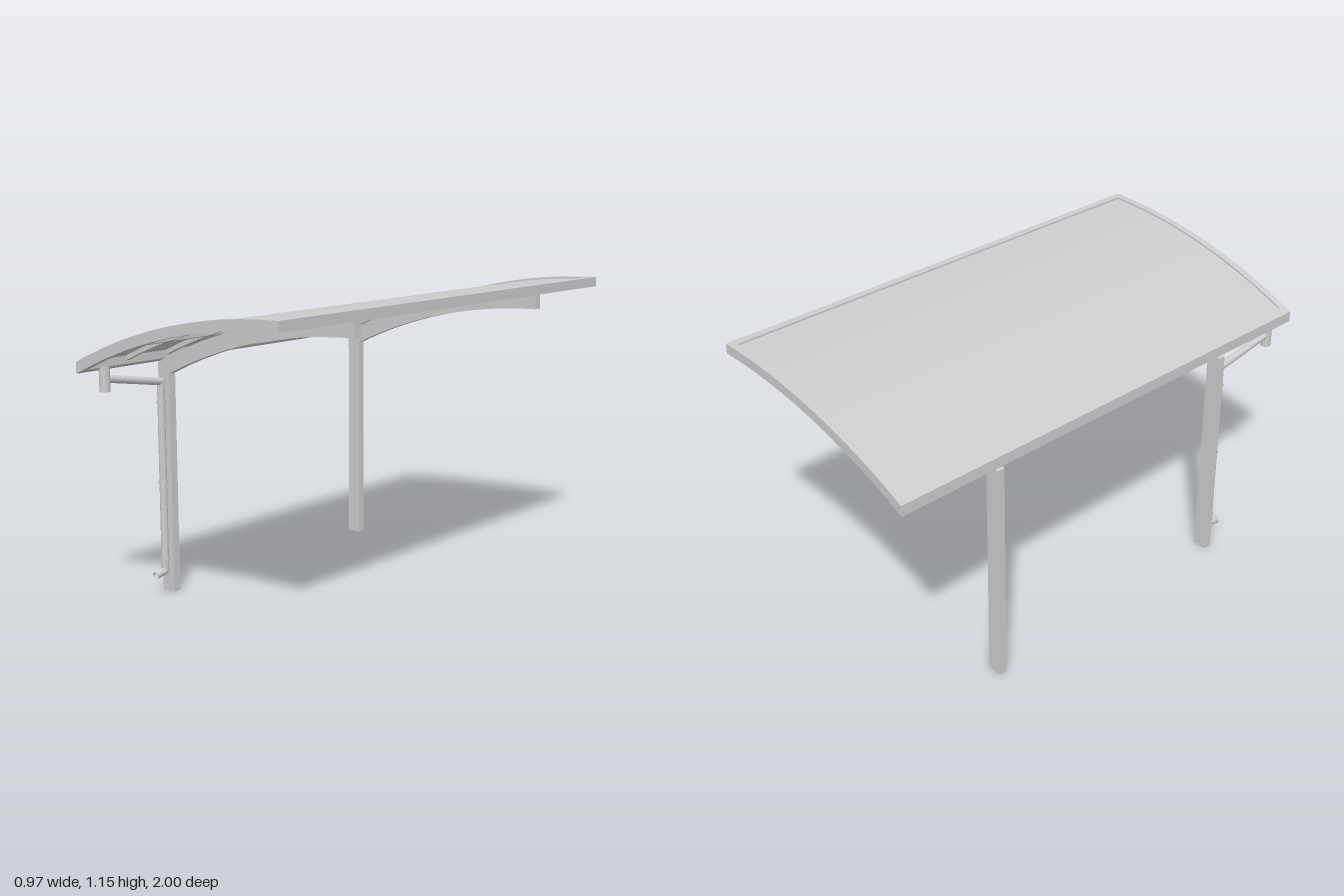
import * as THREE from 'three';
import { toCreasedNormals } from 'three/addons/utils/BufferGeometryUtils.js';

const metal = new THREE.MeshStandardMaterial({ color: 0xcccccc });
metal.name = 'light grey metal';
metal.side = THREE.DoubleSide;

// Height of the roof arc at x, at depth d below its top surface
const R = 2.237, CX = 0.482, CY = 1.155 - R;
const arcY = (x, d) => CY + Math.sqrt((R - d) ** 2 - (x - CX) ** 2);

export function createModel() {
  const model = new THREE.Group();
  model.name = 'carport';

  const add = (name, geometry, parent = model) => {
    const mesh = new THREE.Mesh(geometry, metal);
    mesh.name = name;
    parent.add(mesh);
    return mesh;
  };

  const extrude = (points, z0, z1) => {
    const g = new THREE.ExtrudeGeometry(new THREE.Shape(points), { depth: z1 - z0, bevelEnabled: false });
    g.translate(0, 0, z0);
    return toCreasedNormals(g, 0.4);
  };

  // Curved slab following the roof arc between depths d0 and d1
  const strip = (name, x0, x1, d0, d1, z0, z1, parent, n = 12) => {
    const top = [], bottom = [];
    for (let i = 0; i <= n; i++) {
      const x = x0 + (x1 - x0) * i / n;
      top.push(new THREE.Vector2(x, arcY(x, d0)));
      bottom.push(new THREE.Vector2(x, arcY(x, d1)));
    }
    return add(name, extrude([...bottom, ...top.reverse()], z0, z1), parent);
  };

  // Roof: rim, recessed panel and the grid below it
  const roof = new THREE.Group();
  roof.name = 'roof';
  model.add(roof);
  const X0 = -0.477, X1 = 0.482, W = 0.03, RIM = 0.0385;
  strip('rimFront', X0, X1, 0, RIM, 1 - W, 1, roof);
  strip('rimBack', X0, X1, 0, RIM, -1, -1 + W, roof);
  strip('rimLow', X0, X0 + W, 0, RIM, -1 + W, 1 - W, roof, 1);
  strip('rimHigh', X1 - W, X1, 0, RIM, -1 + W, 1 - W, roof, 1);
  strip('panel', X0 + W, X1 - W, 0.007, 0.011, -1 + W, 1 - W, roof);
  for (const z of [-0.78, -0.575, -0.28, 0, 0.28, 0.575, 0.78])
    strip('rib', X0 + W, X1 - W, 0.011, 0.027, z - 0.01, z + 0.01, roof);
  for (const x of [-0.237, 0.002, 0.242])
    strip('purlin', x - 0.009, x + 0.009, 0.011, 0.027, -1 + W, 1 - W, roof, 1);

  // Two posts, each with a curved cantilever beam
  for (const z of [0.575, -0.575]) {
    const frame = new THREE.Group();
    frame.name = z > 0 ? 'frontSupport' : 'backSupport';
    model.add(frame);
    const l = -0.486, r = -0.428;
    add('post', extrude([
      new THREE.Vector2(l, 0), new THREE.Vector2(r, 0),
      new THREE.Vector2(r, arcY(r, RIM)), new THREE.Vector2(l, arcY(l, RIM)),
    ], z - 0.016, z + 0.016), frame);
    strip('beam', r, 0.462, RIM, 0.0985, z - 0.016, z + 0.016, frame);
  }

  // Drainage: outlet, sloping pipe, downpipe with clips and spout
  const drain = new THREE.Group();
  drain.name = 'drainage';
  model.add(drain);
  const PX = -0.451, PZ = 0.613;
  const pipe = (name, a, b, radius, open) => {
    const p = new THREE.Vector3(PX, a[0], a[1]), q = new THREE.Vector3(PX, b[0], b[1]);
    const dir = q.clone().sub(p);
    const mesh = add(name, new THREE.CylinderGeometry(radius, radius, dir.length(), 20, 1, open), drain);
    mesh.position.copy(p).add(q).multiplyScalar(0.5);
    mesh.quaternion.setFromUnitVectors(new THREE.Vector3(0, 1, 0), dir.normalize());
  };
  const joint = (y) => {
    add('elbow', new THREE.SphereGeometry(0.0145, 20, 12), drain).position.set(PX, y, PZ);
  };
  pipe('outlet', [0.82, 0.891], [0.915, 0.891], 0.02, true);
  pipe('slopingPipe', [0.823, PZ], [0.867, 0.885], 0.0145, false);
  pipe('downpipe', [0.088, PZ], [0.823, PZ], 0.0145, true);
  pipe('spout', [0.088, PZ], [0.077, 0.665], 0.0145, true);
  joint(0.823);
  joint(0.088);
  for (const y of [0.138, 0.437, 0.745]) {
    pipe('clip', [y - 0.006, PZ], [y + 0.006, PZ], 0.0175, false);
    add('clipTab', new THREE.BoxGeometry(0.012, 0.012, 0.02), drain).position.set(PX, y, 0.598);
  }

  return model;
}
